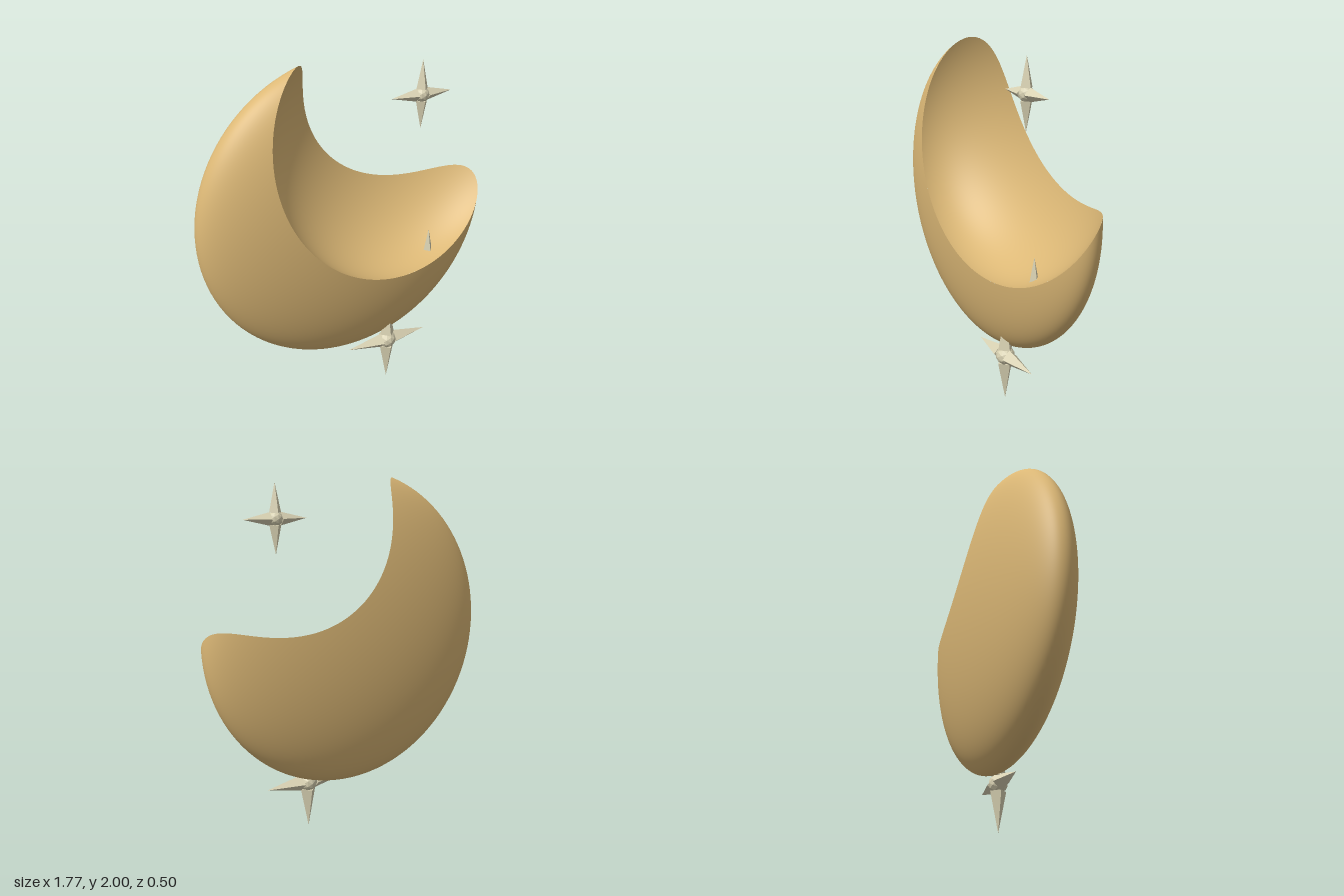
import * as THREE from 'three';

const gold = new THREE.MeshStandardMaterial({ color: 0xdcb876 });
gold.name = 'warm gold';
const pale = new THREE.MeshStandardMaterial({ color: 0xd8d1b2, flatShading: true });
pale.name = 'pale ivory';

// A flattened body and the rounder hollow scooped out of it (local x runs towards the opening)
const body = { c: new THREE.Vector3(0, 0, 0), r: new THREE.Vector3(0.885, 0.885, 0.255) };
const hollow = { c: new THREE.Vector3(0.492, 0, 0.2), r: new THREE.Vector3(0.79, 0.79, 0.486) };

const level = (e, p) => p.clone().sub(e.c).divide(e.r).lengthSq() - 1;

// Part of one ellipsoid, spread from a pole until it meets the other ellipsoid
function patch(e, other, pole, inward, rings = 40, segs = 160) {
  const e1 = new THREE.Vector3(0, 1, 0);
  const e2 = new THREE.Vector3().crossVectors(pole, e1);
  const dirAt = (t, phi) => pole.clone().multiplyScalar(Math.cos(t))
    .addScaledVector(e1, Math.sin(t) * Math.cos(phi))
    .addScaledVector(e2, Math.sin(t) * Math.sin(phi));
  const pointAt = (d) => d.clone().multiply(e.r).add(e.c);
  const start = Math.sign(level(other, pointAt(pole)));
  const kept = (t, phi) => level(other, pointAt(dirAt(t, phi))) * start > 0;

  const pos = [], nor = [], idx = [];
  for (let j = 0; j <= segs; j++) {
    const phi = (j / segs) * Math.PI * 2;
    let lo = 0;
    while (lo < Math.PI - 0.02 && kept(lo + 0.02, phi)) lo += 0.02;
    let hi = lo + 0.02;
    for (let k = 0; k < 30; k++) {
      const mid = (lo + hi) / 2;
      if (kept(mid, phi)) lo = mid; else hi = mid;
    }
    for (let i = 0; i <= rings; i++) {
      const d = dirAt((lo * i) / rings, phi);
      const n = d.clone().divide(e.r).normalize().multiplyScalar(inward ? -1 : 1);
      pos.push(...pointAt(d).toArray());
      nor.push(...n.toArray());
    }
  }
  for (let j = 0; j < segs; j++) for (let i = 0; i < rings; i++) {
    const a = j * (rings + 1) + i, b = a + 1, c = b + rings + 1, d = a + rings + 1;
    if (inward) idx.push(a, c, b, a, d, c); else idx.push(a, b, c, a, c, d);
  }
  const g = new THREE.BufferGeometry();
  g.setAttribute('position', new THREE.Float32BufferAttribute(pos, 3));
  g.setAttribute('normal', new THREE.Float32BufferAttribute(nor, 3));
  g.setIndex(idx);
  return g;
}

// Four-pointed star: faceted core with four square-based spikes
function makeStar(name, x, y, z, armX, armY, width) {
  const star = new THREE.Group();
  star.name = name;
  star.position.set(x, y, z);
  const core = new THREE.Mesh(new THREE.IcosahedronGeometry(width * 1.15, 1), pale);
  core.name = 'starCore';
  star.add(core);
  for (let i = 0; i < 4; i++) {
    const length = (i % 2 ? armX : armY) - width * 0.9;
    const geo = new THREE.ConeGeometry(width, length, 4);
    geo.translate(0, width * 0.9 + length / 2, 0);
    const spike = new THREE.Mesh(geo, pale);
    spike.name = 'starSpike';
    spike.rotation.z = (i * Math.PI) / 2;
    star.add(spike);
  }
  return star;
}

export function createModel() {
  const model = new THREE.Group();
  model.name = 'moonAndStars';

  // Crescent bowl
  const moon = new THREE.Group();
  moon.name = 'crescentMoon';
  moon.position.y = 1.165;
  moon.rotation.z = 0.966;
  const outer = new THREE.Mesh(patch(body, hollow, new THREE.Vector3(-1, 0, 0), false), gold);
  outer.name = 'moonOuterShell';
  const inner = new THREE.Mesh(
    patch(hollow, body, new THREE.Vector3(-0.857, 0, -0.515).normalize(), true), gold);
  inner.name = 'moonInnerBowl';
  moon.add(outer, inner);
  model.add(moon);

  // Stars: one floating, one under the moon, one sunk into its rim
  model.add(
    makeStar('upperStar', 0.41, 1.79, 0.08, 0.19, 0.19, 0.036),
    makeStar('lowerStar', 0.23, 0.275, 0.08, 0.265, 0.275, 0.048),
    makeStar('sunkenStar', 0.5, 0.76, 0.08, 0.2, 0.2, 0.036));
  return model;
}
